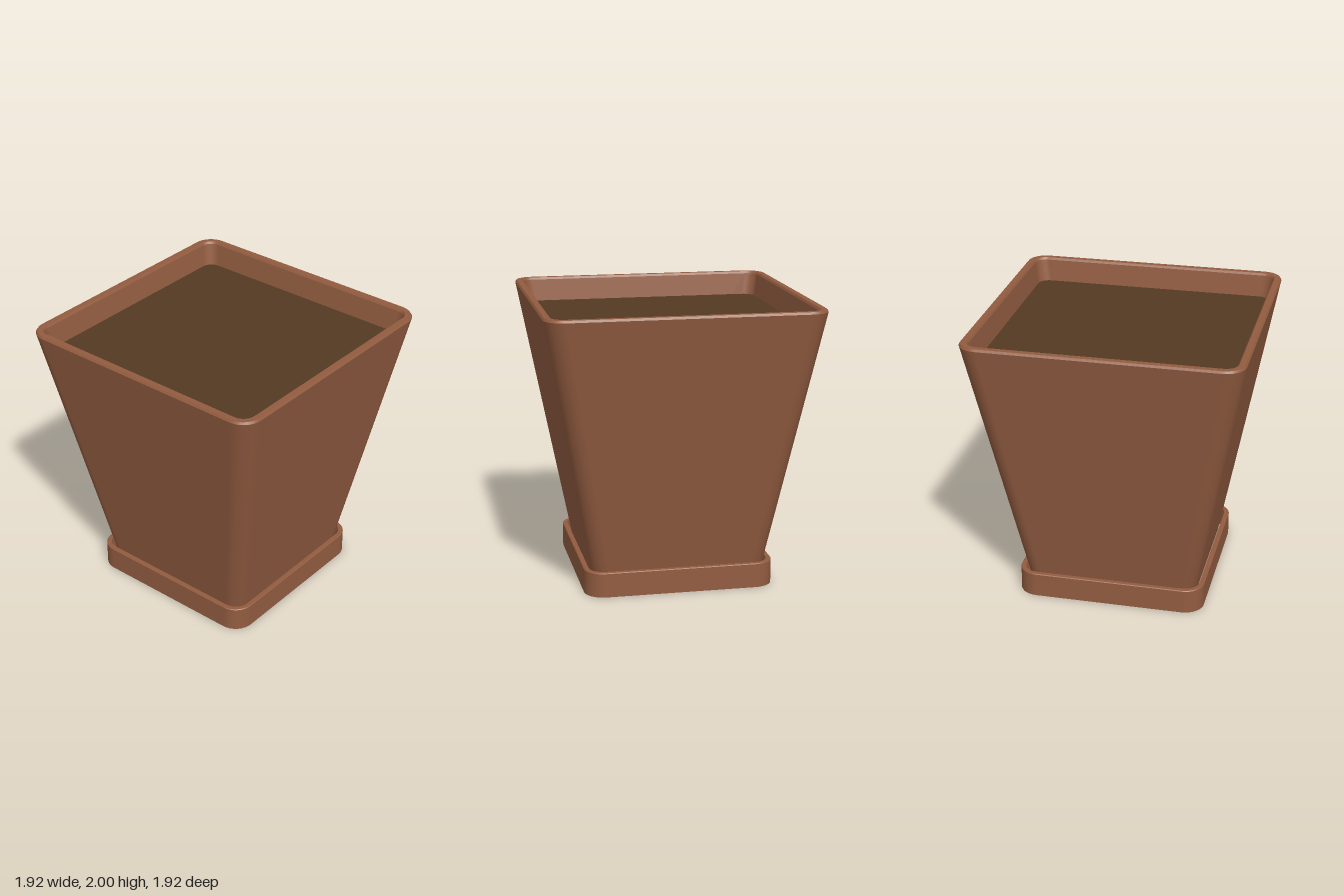
import * as THREE from 'three';
import { mergeGeometries } from 'three/addons/utils/BufferGeometryUtils.js';

// Outline of a rounded square: half width h, corner radius r
function roundedSquare(h, r, steps = 8) {
  const pts = [];
  for (let c = 0; c < 4; c++) {
    const mid = Math.PI / 4 + c * Math.PI / 2;
    const cx = Math.sign(Math.cos(mid)) * (h - r);
    const cy = Math.sign(Math.sin(mid)) * (h - r);
    for (let i = 0; i <= steps; i++) {
      const a = c * Math.PI / 2 + (i / steps) * Math.PI / 2;
      pts.push(new THREE.Vector2(cx + r * Math.cos(a), cy + r * Math.sin(a)));
    }
  }
  return pts;
}

// One band between two rounded squares [half width, height, radius]
function band(a, b) {
  const position = [], index = [];
  const rings = [a, b].map(([h, , r]) => roundedSquare(h, r));
  const n = rings[0].length;
  rings.forEach((ring, k) => ring.forEach(p => position.push(p.x, k ? b[1] : a[1], p.y)));
  for (let i = 0; i < n; i++) {
    const j = (i + 1) % n;
    index.push(i, n + i, j, j, n + i, n + j);
  }
  const g = new THREE.BufferGeometry();
  g.setAttribute('position', new THREE.Float32BufferAttribute(position, 3));
  g.setIndex(index);
  g.computeVertexNormals();
  return g;
}

// Closed wall: profile runs up the outside, over the rim and down the inside;
// separate bands keep the rim edges sharp and the corners smooth
function wall(profile) {
  return mergeGeometries(profile.map((p, i) => band(p, profile[(i + 1) % profile.length])));
}

export function createModel() {
  const group = new THREE.Group();
  const terracotta = new THREE.MeshStandardMaterial({ color: 0x925c40 });
  terracotta.name = 'terracotta';
  const earth = new THREE.MeshStandardMaterial({ color: 0x543a22 });
  earth.name = 'earth';

  const add = (name, geometry, material) => {
    const mesh = new THREE.Mesh(geometry, material);
    mesh.name = name;
    group.add(mesh);
    return mesh;
  };

  // Tapered pot, open at the bottom, with a slightly eased rim
  add('pot', wall([
    [0.597, 0.05, 0.11],
    [0.96, 1.985, 0.14],
    [0.95, 2, 0.13],
    [0.91, 2, 0.09],
    [0.9, 1.985, 0.08],
    [0.58, 0.05, 0.095],
  ]), terracotta);

  // Saucer ring around the foot
  add('saucer', wall([
    [0.67, 0, 0.14],
    [0.67, 0.17, 0.14],
    [0.665, 0.175, 0.135],
    [0.635, 0.175, 0.105],
    [0.61, 0.055, 0.1],
  ]), terracotta);

  // Soil surface just below the rim
  const soil = new THREE.ShapeGeometry(new THREE.Shape(roundedSquare(0.876, 0.075)));
  soil.rotateX(-Math.PI / 2);
  add('soil', soil, earth).position.y = 1.83;

  return group;
}
